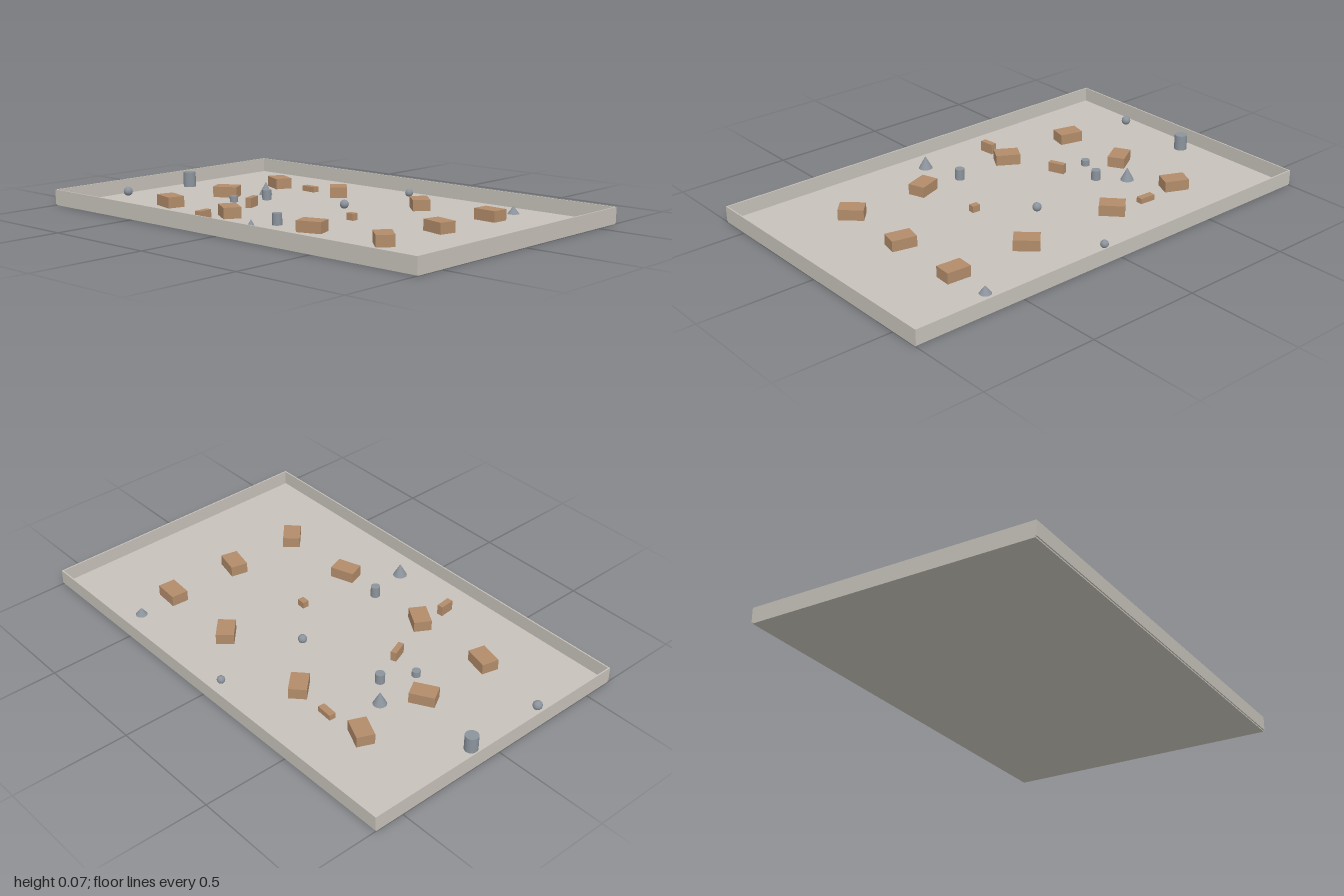
import * as THREE from 'three';

const FLOOR_Y = 0.006;   // top of the floor slab
const WALL_TOP = 0.069;
const HALF_X = 1, HALF_Z = 0.633, WALL = 0.006;

export function createModel() {
  const model = new THREE.Group();
  model.name = 'obstacleArena';

  const concrete = new THREE.MeshStandardMaterial({ name: 'paleConcrete', color: 0xc6c1b9 });
  const wood = new THREE.MeshStandardMaterial({ name: 'tanWood', color: 0xb28c6a });
  const steel = new THREE.MeshStandardMaterial({ name: 'blueGrey', color: 0x8b939c });

  const add = (name, geometry, material, x, y, z, degrees = 0) => {
    const mesh = new THREE.Mesh(geometry, material);
    mesh.name = name;
    mesh.position.set(x, y, z);
    mesh.rotation.y = THREE.MathUtils.degToRad(degrees);
    model.add(mesh);
  };

  // Floor slab, slightly narrower than the long walls
  add('floor', new THREE.BoxGeometry(2 * HALF_X, FLOOR_Y, 2 * HALF_Z - 0.01), concrete, 0, FLOOR_Y / 2, 0);

  // Four low walls
  const wallH = WALL_TOP - FLOOR_Y, wallY = FLOOR_Y + wallH / 2;
  for (const s of [-1, 1]) {
    add(s > 0 ? 'frontWall' : 'backWall', new THREE.BoxGeometry(2 * HALF_X, wallH, WALL),
      concrete, 0, wallY, s * (HALF_Z - WALL / 2));
    add(s > 0 ? 'leftWall' : 'rightWall', new THREE.BoxGeometry(WALL, wallH, 2 * (HALF_Z - WALL)),
      concrete, s * (HALF_X - WALL / 2), wallY, 0);
  }

  // Large blocks on a loose grid: x, z, turn in degrees
  const block = new THREE.BoxGeometry(0.107, 0.047, 0.075);
  [
    [-0.6, -0.335, -24], [-0.235, -0.335, -47], [0.23, -0.335, -43], [0.595, -0.335, -4],
    [-0.6, -0.003, 30], [0.595, -0.003, -13],
    [-0.6, 0.33, -14], [-0.235, 0.33, -31], [0.23, 0.33, 19], [0.595, 0.33, -43],
  ].forEach(([x, z, turn]) => add('largeBlock', block, wood, x, FLOOR_Y + 0.0235, z, turn));

  // Small blocks: x, z, turn, width, height, depth
  [
    [-0.417, -0.348, -4, 0.072, 0.024, 0.03],
    [-0.332, 0.107, -69, 0.073, 0.043, 0.025],
    [0.183, 0.045, -3, 0.036, 0.029, 0.028],
    [-0.244, 0.468, -84, 0.067, 0.045, 0.027],
  ].forEach(([x, z, turn, w, h, d]) =>
    add('smallBlock', new THREE.BoxGeometry(w, h, d), wood, x, FLOOR_Y + h / 2, z, turn));

  // Upright cylinders: x, z, radius, height
  [
    [-0.922, -0.07, 0.028, 0.068], [-0.407, -0.058, 0.02, 0.044],
    [-0.473, 0.078, 0.018, 0.026], [0.035, 0.326, 0.02, 0.049],
  ].forEach(([x, z, r, h]) =>
    add('cylinder', new THREE.CylinderGeometry(r, r, h, 32), steel, x, FLOOR_Y + h / 2, z));

  // Cones: x, z, radius, height
  [
    [-0.505, -0.15, 0.029, 0.057], [0.586, -0.51, 0.025, 0.033], [0.077, 0.513, 0.03, 0.055],
  ].forEach(([x, z, r, h]) =>
    add('cone', new THREE.ConeGeometry(r, h, 32), steel, x, FLOOR_Y + h / 2, z));

  // Spheres: x, z, radius
  [
    [0.004, -0.538, 0.017], [-0.01, -0.124, 0.019], [-0.932, 0.288, 0.02],
  ].forEach(([x, z, r]) =>
    add('sphere', new THREE.SphereGeometry(r, 24, 16), steel, x, FLOOR_Y + r, z));

  return model;
}
